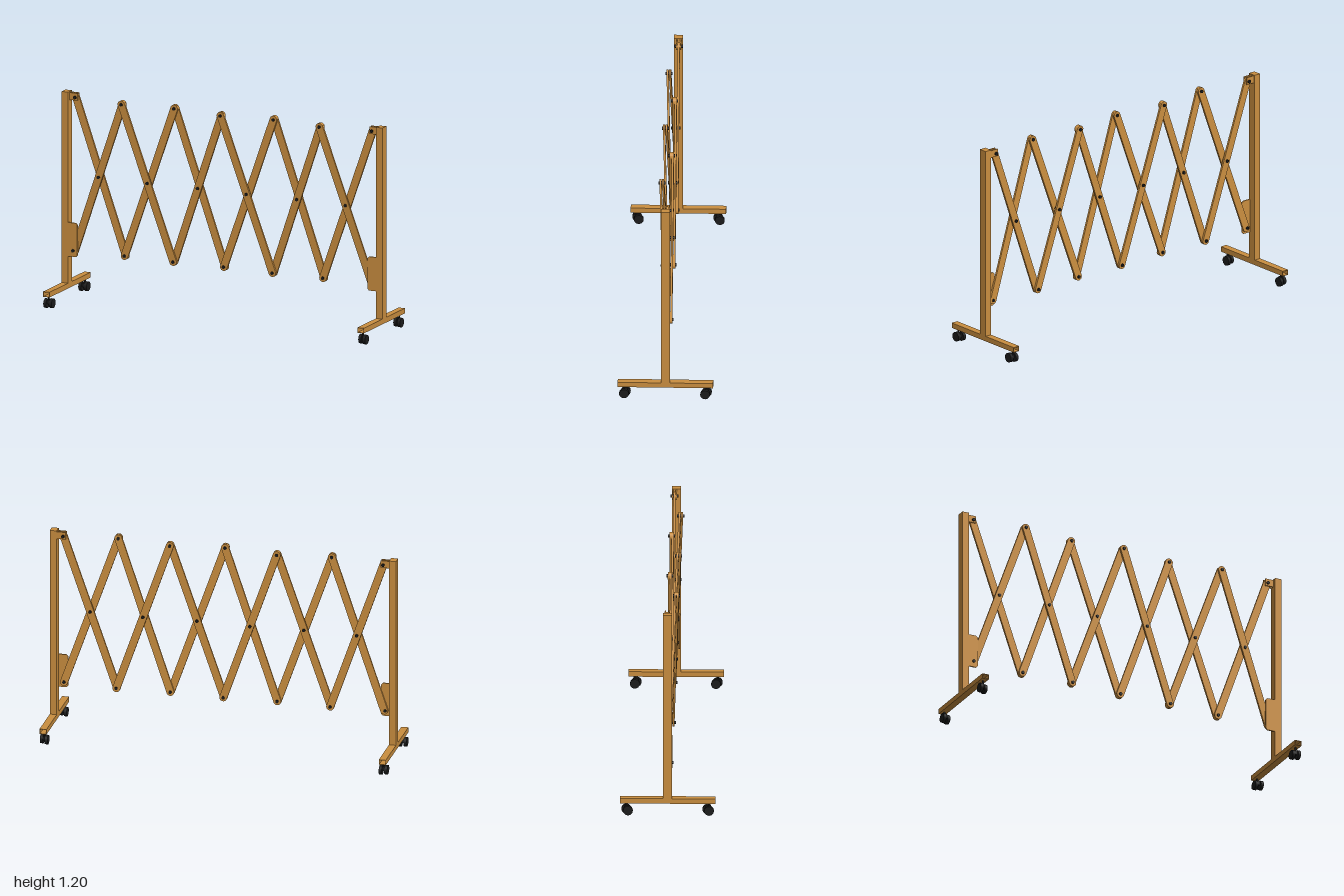
import * as THREE from 'three';

export function createModel() {
  const root = new THREE.Group();
  root.name = 'expandingBarrier';
  const wood = new THREE.MeshStandardMaterial({ color: 0xcb8f40 });
  wood.name = 'warm wood';
  const black = new THREE.MeshStandardMaterial({ color: 0x1c1c1c });
  black.name = 'black';

  const add = (parent, name, geo, mat, x = 0, y = 0, z = 0) => {
    const m = new THREE.Mesh(geo, mat);
    m.name = name;
    m.position.set(x, y, z);
    parent.add(m);
    return m;
  };

  const T = 0.012, R = 0.022, TOP = 1.17, BOT = 0.29, STEP = 0.308;
  const pivotX = i => (i - 3) * STEP;

  // Flat slat with rounded ends, spanning two pivots
  const slat = (name, a, b) => {
    const dir = b.clone().sub(a), h = dir.length() / 2;
    const s = new THREE.Shape();
    s.absarc(0, h, R, 0, Math.PI, false);
    s.absarc(0, -h, R, Math.PI, Math.PI * 2, false);
    s.closePath();
    const g = new THREE.ExtrudeGeometry(s, { depth: T, bevelEnabled: false, curveSegments: 10 });
    g.translate(0, 0, -T / 2);
    const m = add(root, name, g, wood);
    const yAxis = dir.normalize();
    const xAxis = new THREE.Vector3().crossVectors(yAxis, new THREE.Vector3(0, 0, 1)).normalize();
    const zAxis = new THREE.Vector3().crossVectors(xAxis, yAxis);
    m.quaternion.setFromRotationMatrix(new THREE.Matrix4().makeBasis(xAxis, yAxis, zAxis));
    m.position.copy(a).add(b).multiplyScalar(0.5);
  };

  // Pivot bolt running from z0 to z1
  const bolt = (x, y, z0, z1) => {
    const g = new THREE.CylinderGeometry(0.009, 0.009, z1 - z0, 12);
    g.rotateX(Math.PI / 2);
    add(root, 'pivotBolt', g, black, x, y, (z0 + z1) / 2);
  };

  // Scissor lattice: upright slats behind, leaning slats in front
  const flatZ = u => (u % 2 ? 0 : -0.013);
  const leanBottomZ = u => (u % 2 ? 0.013 : 0);
  const leanTopZ = u => (u % 2 ? 0.041 : 0.027) + 0.003 * Math.floor(u / 2);
  for (let u = 0; u < 6; u++) {
    const odd = u % 2;
    const front = pivotX(odd ? u : u + 1), rear = pivotX(odd ? u + 1 : u);
    slat('rearSlat', new THREE.Vector3(front, BOT, flatZ(u)), new THREE.Vector3(rear, TOP, flatZ(u)));
    slat('frontSlat', new THREE.Vector3(rear, BOT, leanBottomZ(u)), new THREE.Vector3(front, TOP, leanTopZ(u)));
    const mid = (leanBottomZ(u) + leanTopZ(u)) / 2;
    bolt((front + rear) / 2, (TOP + BOT) / 2, flatZ(u) - 0.014, mid + 0.012);
  }
  for (let i = 0; i < 7; i++) {
    const x = pivotX(i), units = [i - 1, i].filter(u => u >= 0 && u < 6);
    const span = (y, f, pad) => {
      const z = units.map(f);
      bolt(x, y, Math.min(...z) - pad, Math.max(...z) + pad);
    };
    const end = i === 0 || i === 6;
    span(TOP, i % 2 ? leanTopZ : flatZ, end ? 0.023 : 0.013);
    if (i === 0) bolt(x - 0.006, BOT, -0.013, 0.022);
    else span(BOT, i % 2 ? flatZ : leanBottomZ, i === 6 ? 0.011 : 0.013);
  }

  // End frames: post, hollow foot, brackets and casters
  for (const side of [-1, 1]) {
    const f = new THREE.Group();
    f.name = side > 0 ? 'leftEndFrame' : 'rightEndFrame';
    f.position.z = side * 0.01;
    root.add(f);
    const x = side * 0.98;
    add(f, 'post', new THREE.BoxGeometry(0.04, 1.1, 0.05), wood, x, 0.65, 0);

    const tube = new THREE.Shape([[-0.02, -0.015], [0.02, -0.015], [0.02, 0.015], [-0.02, 0.015]]
      .map(p => new THREE.Vector2(...p)));
    tube.holes.push(new THREE.Path([[-0.0175, -0.0125], [-0.0175, 0.0125], [0.0175, 0.0125], [0.0175, -0.0125]]
      .map(p => new THREE.Vector2(...p))));
    const foot = new THREE.ExtrudeGeometry(tube, { depth: 0.535, bevelEnabled: false });
    add(f, 'foot', foot, wood, x, 0.085, -0.2675);

    // Lower plate with clipped inner corners, in front of the slat end
    const plate = new THREE.Shape([[0, 0], [0.046, 0], [0.056, 0.01], [0.056, 0.185], [0.046, 0.195], [0, 0.195]]
      .map(p => new THREE.Vector2(side > 0 ? -p[0] : p[0], p[1])));
    const plateGeo = new THREE.ExtrudeGeometry(plate, { depth: 0.008, bevelEnabled: false });
    add(f, 'lowerPlate', plateGeo, wood, side * 0.96, 0.255, side > 0 ? 0.012 : 0.017);

    // Upper pair of lugs holding the slat end
    const slatZ = flatZ(side > 0 ? 5 : 0) - f.position.z;
    for (const k of [-1, 1])
      add(f, 'upperLug', new THREE.BoxGeometry(0.052, 0.042, 0.007), wood, side * 0.935, 1.174, slatZ + k * 0.0105);

    // Twin-wheel casters
    for (const e of [-1, 1]) {
      const c = new THREE.Group();
      c.name = 'caster';
      c.position.set(x, 0, e * 0.227);
      f.add(c);
      add(c, 'stem', new THREE.CylinderGeometry(0.005, 0.005, 0.04, 10), black, 0, 0.052, e * 0.008);
      add(c, 'housing', new THREE.BoxGeometry(0.012, 0.024, 0.034), black, 0, 0.037, 0);
      for (const w of [-1, 1]) {
        const g = new THREE.CylinderGeometry(0.027, 0.027, 0.017, 24);
        g.rotateZ(Math.PI / 2);
        add(c, 'wheel', g, black, w * 0.0145, 0.027, w * side * 0.005);
      }
    }
  }
  return root;
}
